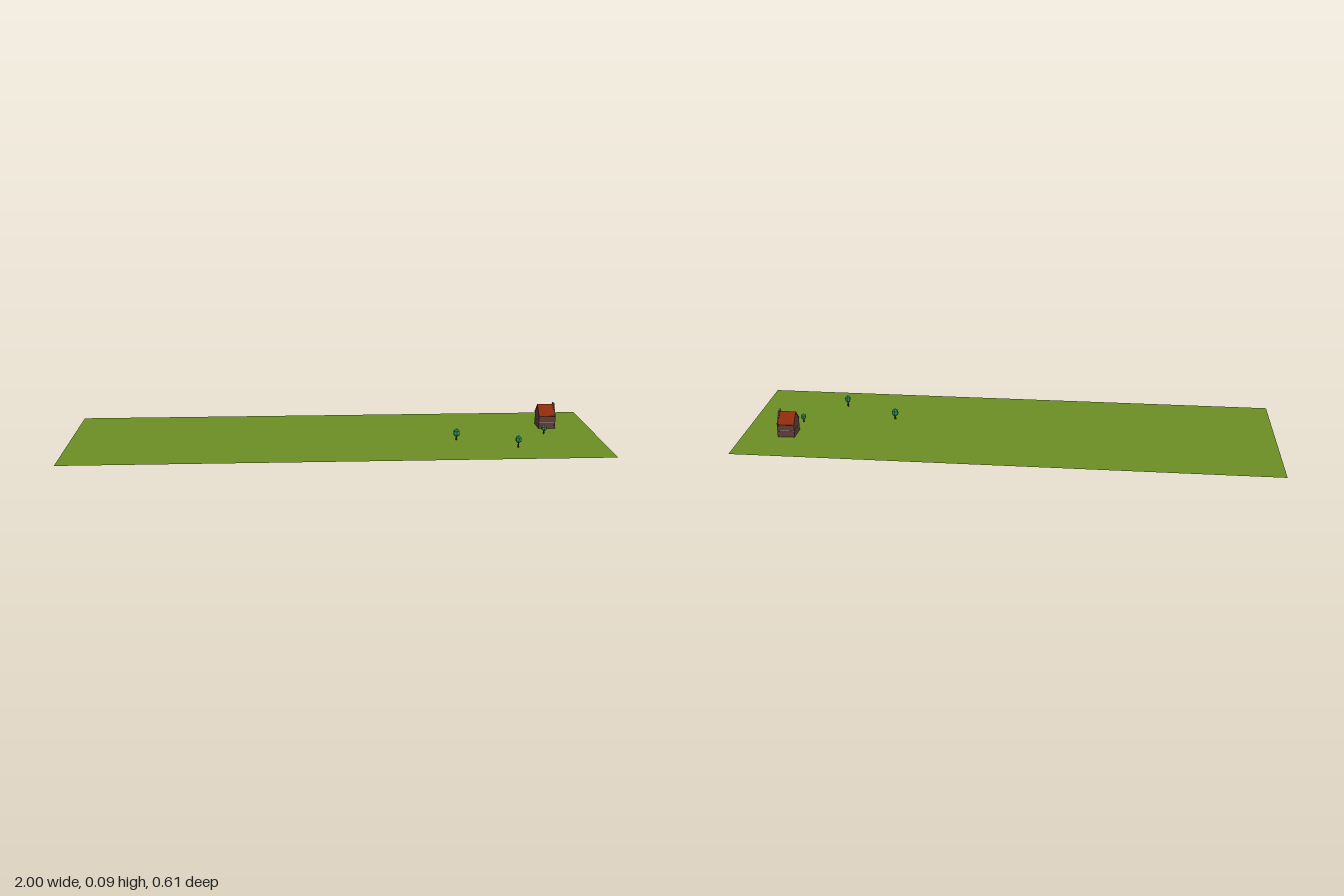
import * as THREE from 'three';

const mat = (color, extra = {}) => {
  const m = new THREE.MeshStandardMaterial({ color, ...extra });
  return m;
};
const brown = mat(0x5c3c38), red = mat(0x8b2a0a), stone = mat(0x9a8c86), blue = mat(0x4682b4);
const wood = mat(0x3a2a1c), leaf = mat(0x2e8b57, { flatShading: true });
const grass = mat(0x6b8e23, { side: THREE.DoubleSide });

function add(parent, name, geometry, material, x = 0, y = 0, z = 0) {
  const mesh = new THREE.Mesh(geometry, material);
  mesh.name = name;
  mesh.position.set(x, y, z);
  parent.add(mesh);
  return mesh;
}
const box = (parent, name, material, w, h, d, x, y, z) =>
  add(parent, name, new THREE.BoxGeometry(w, h, d), material, x, y, z);

// Extrudes a (z, y) outline along x, centred on x = 0
function alongX(points, length) {
  const shape = new THREE.Shape(points.map(([z, y]) => new THREE.Vector2(-z, y)));
  return new THREE.ExtrudeGeometry(shape, { depth: length, bevelEnabled: false })
    .translate(0, 0, -length / 2).rotateY(Math.PI / 2);
}
const mirrored = (half) => [...half, ...half.slice().reverse().map(([z, y]) => [-z, y])];

function makeHouse() {
  const house = new THREE.Group();
  house.name = 'house';
  const front = 0.0325; // the door side faces +x

  // Walls and pitched roof
  add(house, 'walls', alongX(mirrored([[0.036, 0], [0.036, 0.05], [0.001, 0.085]]), 0.062), brown);
  for (const s of [-1, 1]) {
    const slope = box(house, 'roofSlope', red, 0.063, 0.003, 0.055, -0.001, 0.0695, s * 0.0185);
    slope.rotation.x = s * 0.8;
  }

  // Gable wall with stepped top and stone caps
  const steps = [[0.019, 0.075], [0.016, 0.081], [0.013, 0.087], [0.010, 0.094]];
  const outline = [[0.037, 0], [0.037, 0.054]];
  let last = 0.023;
  outline.push([last, 0.068]);
  for (const [z, y] of steps) {
    outline.push([z, outline.at(-1)[1]], [z, y]);
    box(house, 'stepCap', stone, 0.006, 0.0015, z * 2 + 0.001, front - 0.002, y, 0);
  }
  add(house, 'steppedGable', alongX(mirrored(outline), 0.005), brown, front - 0.002);

  // String course around the walls
  box(house, 'stringCourse', stone, 0.064, 0.0015, 0.0735, -0.0002, 0.026, 0);

  // Windows and door on the gable side
  for (const s of [-1, 1])
    box(house, 'window', blue, 0.002, 0.017, 0.014, front + 0.001, 0.0255, s * 0.021);
  for (const s of [-1, 1]) {
    box(house, 'gableBand', stone, 0.001, 0.0012, 0.008, front + 0.001, 0.026, s * 0.032);
    box(house, 'gableBand', stone, 0.001, 0.0012, 0.006, front + 0.001, 0.026, s * 0.011);
    box(house, 'doorJamb', stone, 0.002, 0.026, 0.0015, front + 0.001, 0.013, s * 0.0075);
  }
  box(house, 'doorLintel', stone, 0.002, 0.0015, 0.0165, front + 0.001, 0.026, 0);
  box(house, 'door', wood, 0.0015, 0.025, 0.0135, front + 0.0007, 0.0125, 0);
  return house;
}

// Tree with a faceted crown between bottom and top heights
function makeTree(x, z, radius, bottom, top) {
  const tree = new THREE.Group();
  tree.name = 'tree';
  tree.position.set(x, 0, z);
  const h = top - bottom;
  const profile = [[0.0001, 0], [radius, 0.3], [radius, 0.72], [0.0001, 1]]
    .map(([r, t]) => new THREE.Vector2(r, bottom + t * h));
  add(tree, 'crown', new THREE.LatheGeometry(profile, 6), leaf);
  const trunkTop = bottom + h * 0.25;
  add(tree, 'trunk', new THREE.CylinderGeometry(radius * 0.2, radius * 0.25, trunkTop, 6), wood, 0, trunkTop / 2);
  return tree;
}

export function createModel() {
  const model = new THREE.Group();
  model.name = 'cottageField';

  // Grass field
  add(model, 'ground', new THREE.PlaneGeometry(2, 0.614).rotateX(-Math.PI / 2), grass);

  const house = makeHouse();
  house.position.set(0.831, 0, -0.107);
  model.add(house);

  // x, z, crown radius, crown bottom, crown top
  for (const t of [
    [0.668, 0.169, 0.011, 0.015, 0.047],
    [0.455, 0.062, 0.0125, 0.01, 0.045],
    [0.803, 0.0, 0.0095, 0.009, 0.036],
  ]) model.add(makeTree(...t));
  return model;
}
